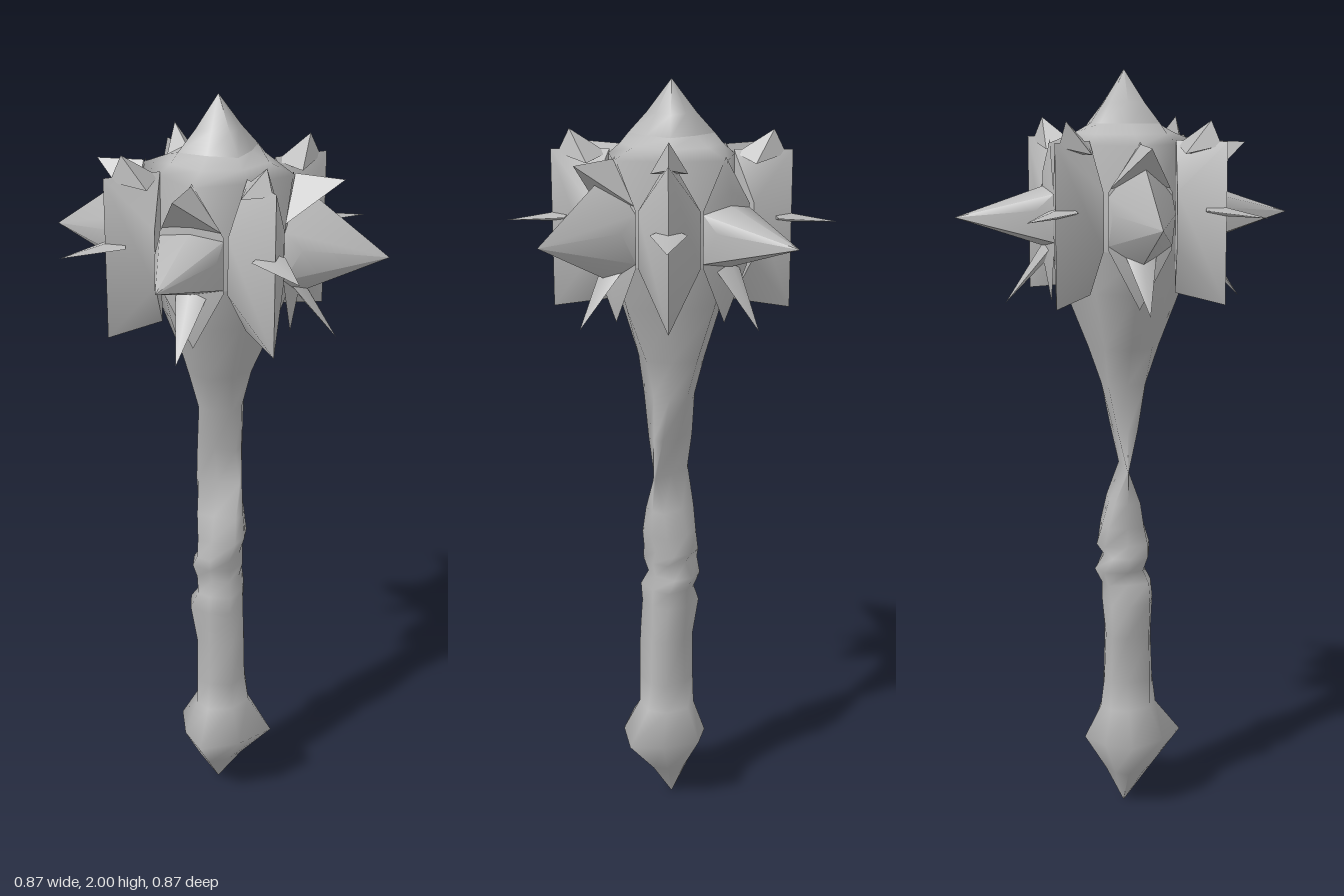
import * as THREE from 'three';
import { ConvexGeometry } from 'three/addons/geometries/ConvexGeometry.js';
import { toCreasedNormals } from 'three/addons/utils/BufferGeometryUtils.js';

export function createModel() {
  const model = new THREE.Group();
  model.name = 'spikedMace';
  const stone = new THREE.MeshStandardMaterial({ color: 0xb8b8b8, side: THREE.DoubleSide });
  stone.name = 'grey stone';

  // Smooth eight-sided loft; each row is y, left x, right x, back z, front z, corner factor
  function loft(name, rows) {
    const position = [], index = [];
    for (const [y, x0, x1, z0, z1, k] of rows) {
      for (let i = 0; i < 8; i++) {
        const a = i * Math.PI / 4;
        const c = Math.cos(a), s = Math.sin(a);
        const f = i % 2 ? k * Math.SQRT2 : 1;
        position.push(c * f * (c > 0 ? x1 : -x0), y, s * f * (s > 0 ? z1 : -z0));
      }
    }
    for (let r = 0; r < rows.length - 1; r++) {
      for (let i = 0; i < 8; i++) {
        const a = r * 8 + i, b = r * 8 + (i + 1) % 8;
        index.push(a, a + 8, b, b, a + 8, b + 8);
      }
    }
    const geometry = new THREE.BufferGeometry();
    geometry.setAttribute('position', new THREE.Float32BufferAttribute(position, 3));
    geometry.setIndex(index);
    geometry.computeVertexNormals();
    const mesh = new THREE.Mesh(geometry, stone);
    mesh.name = name;
    model.add(mesh);
  }

  // Carved handle, pinched to a flat edge halfway, flaring into the neck
  loft('handle', [
    [0, -0.002, 0.002, -0.002, 0.002, 0.6],
    [0.1, -0.06, 0.07, -0.05, 0.08, 0.62],
    [0.2, -0.11, 0.158, -0.11, 0.16, 0.6],
    [0.29, -0.06, 0.09, -0.065, 0.09, 0.7],
    [0.37, -0.05, 0.078, -0.055, 0.08, 0.8],
    [0.5, -0.05, 0.075, -0.05, 0.075, 0.82],
    [0.6, -0.08, 0.072, -0.06, 0.08, 0.75],
    [0.65, -0.045, 0.07, -0.06, 0.075, 0.82],
    [0.69, -0.06, 0.06, -0.08, 0.055, 0.78],
    [0.73, -0.07, 0.07, -0.055, 0.07, 0.78],
    [0.76, -0.05, 0.06, -0.075, 0.07, 0.82],
    [0.81, -0.05, 0.075, -0.06, 0.055, 0.85],
    [0.88, -0.055, 0.07, -0.04, 0.04, 0.88],
    [0.97, -0.062, 0.067, -0.002, 0.002, 0.9],
    [1.08, -0.055, 0.064, -0.03, 0.03, 0.9],
    [1.2, -0.045, 0.065, -0.06, 0.06, 0.82],
    [1.3, -0.09, 0.09, -0.095, 0.095, 0.66],
    [1.45, -0.155, 0.155, -0.155, 0.155, 0.6],
    [1.56, -0.195, 0.195, -0.195, 0.195, 0.57],
  ]);
  // Diamond-plan head with a shallow shoulder
  loft('headCore', [
    [1.56, -0.195, 0.195, -0.195, 0.195, 0.57],
    [1.82, -0.195, 0.195, -0.195, 0.195, 0.57],
    [1.845, -0.13, 0.13, -0.13, 0.13, 0.7],
    [1.87, -0.085, 0.085, -0.085, 0.085, 0.9],
  ]);
  loft('crownSpike', [
    [1.87, -0.085, 0.085, -0.085, 0.085, 0.9],
    [1.92, -0.052, 0.052, -0.052, 0.052, 0.85],
    [2, -0.001, 0.001, -0.001, 0.001, 0.8],
  ]);

  // Convex solid from [outward, height, sideways] points, turned around the head
  function solid(name, points, angle) {
    const hull = new ConvexGeometry(points.map(([r, y, t]) => new THREE.Vector3(r, y, t)));
    const mesh = new THREE.Mesh(toCreasedNormals(hull, 0.9), stone);
    mesh.name = name;
    mesh.rotation.y = angle;
    model.add(mesh);
  }
  const both = (r, y, t) => [[r, y, t], [r, y, -t]];

  for (let i = 0; i < 4; i++) {
    // Main spikes; those at the sides are taller than front and back
    const angle = i * Math.PI / 2;
    const tall = i % 2 === 0;
    solid('mainSpike', [
      [0.435, 1.64, 0], ...both(0.195, 1.7, 0.08), ...both(0.195, 1.58, 0.08),
      ...both(0.24, 1.66, 0.078),
      [0.195, tall ? 1.81 : 1.72, 0], [0.195, tall ? 1.52 : 1.56, 0],
    ], angle);
    // Tall diamond boss behind each spike
    solid('spikeBoss', [
      [0.19, 1.83, 0], [0.19, 1.42, 0], [0.21, 1.75, 0], [0.21, 1.53, 0],
      ...both(0.195, 1.71, 0.08), ...both(0.195, 1.57, 0.08),
    ], angle);
    solid('lowerThorn', [
      [0.31, 1.42, 0], [0.2, 1.59, 0], [0.2, 1.53, 0], ...both(0.2, 1.56, 0.04),
    ], angle);
    // Upper thorns on all but the back
    if (i !== 1) solid('upperThorn', [
      [0.32, 1.82, 0], [0.195, 1.825, 0], ...both(0.195, 1.72, 0.075),
    ], angle);

    // Diagonal blades with an upright cutting edge, side thorn and top point
    const diagonal = angle + Math.PI / 4;
    solid('diagonalBlade', [
      [0.302, 1.83, 0], [0.302, 1.43, 0], [0.155, 1.83, 0], [0.155, 1.45, 0],
      ...both(0.205, 1.71, 0.075), ...both(0.205, 1.57, 0.075),
    ], diagonal);
    solid('sideThorn', [
      [0.42, 1.65, 0], ...both(0.268, 1.665, 0.045), [0.25, 1.68, 0], [0.25, 1.65, 0],
    ], diagonal);
    solid('topThorn', [
      [0.255, 1.88, 0], [0.16, 1.82, 0], [0.285, 1.82, 0], ...both(0.21, 1.8, 0.045),
    ], diagonal);
  }
  return model;
}
